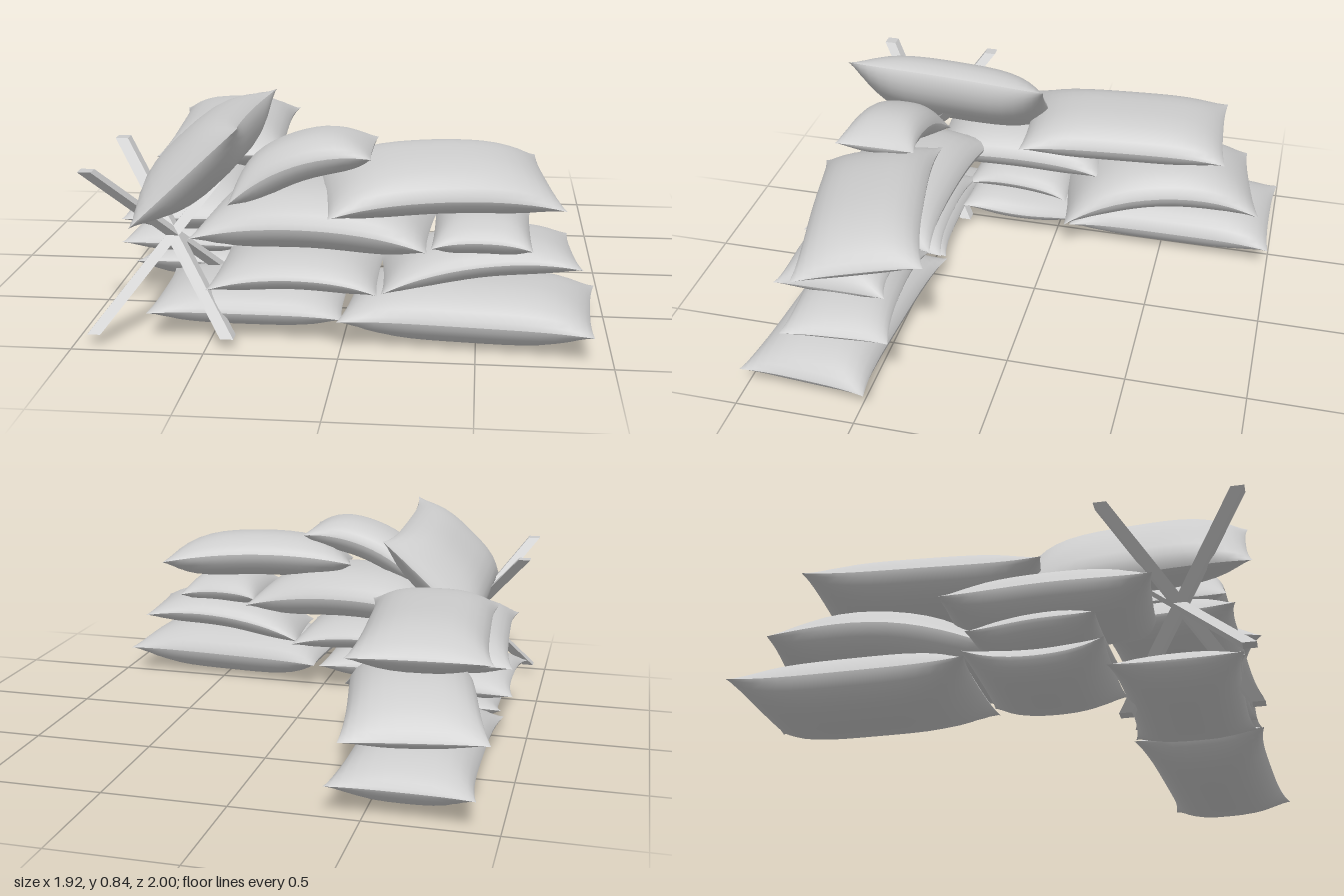
import * as THREE from 'three';
import { mergeGeometries } from 'three/addons/utils/BufferGeometryUtils.js';

const material = new THREE.MeshStandardMaterial({ color: 0xcccccc });

// Pillow: two bulged sheets meeting at a seam, with corners sticking out.
// bend arches the bag along its length.
function bagGeometry(length, width, height, bend) {
  const sheets = [1, -1].map((side) => {
    const sheet = new THREE.PlaneGeometry(2, 2, 20, 14);
    sheet.rotateX((-side * Math.PI) / 2);
    const p = sheet.attributes.position;
    for (let i = 0; i < p.count; i++) {
      // crowd the rows towards the seam so the rounded rim is well sampled
      const u = Math.sin((p.getX(i) * Math.PI) / 2);
      const v = Math.sin((p.getZ(i) * Math.PI) / 2);
      // full in the middle, falling off near the ends and sides
      const fullU = Math.max(0, 1 - u ** 4);
      const fullV = Math.max(0, 1 - Math.abs(v) ** 3);
      p.setXYZ(
        i,
        u * (length / 2) * (1 - 0.035 * fullV),
        side * (height / 2) * fullU ** 0.75 * fullV ** 0.65 + bend * (1 - u * u),
        v * (width / 2) * (1 - 0.11 * fullU)
      );
    }
    sheet.computeVertexNormals();
    return sheet;
  });
  return mergeGeometries(sheets);
}

// Bags: name, centre [x, y, z], size [length, width, height],
// then yaw, pitch, roll and bend
const Q = Math.PI / 2;
const BAGS = [
  // wing along x, from the ground up
  ['frontBaseOuter', [0.475, 0.118, 0.7], [0.94, 0.54, 0.235], -0.07, 0, 0, 0],
  ['frontBaseInner', [-0.365, 0.115, 0.66], [0.74, 0.5, 0.175], 0, 0, 0, 0],
  ['frontSecondOuter', [0.5, 0.26, 0.635], [0.75, 0.44, 0.155], 0.08, 0.13, 0, 0.05],
  ['frontSecondInner', [-0.185, 0.215, 0.65], [0.64, 0.52, 0.155], 0, 0, 0, 0.038],
  ['frontThirdInner', [-0.11, 0.4, 0.625], [0.89, 0.57, 0.235], -0.06, -0.01, 0, 0.05],
  ['frontThirdOuter', [0.515, 0.405, 0.68], [0.37, 0.47, 0.15], 0, 0, 0, 0.018],
  ['frontTopOuter', [0.34, 0.56, 0.615], [0.88, 0.53, 0.21], 0.2, 0, 0.15, 0.04],
  ['frontTopInner', [-0.16, 0.62, 0.67], [0.57, 0.35, 0.17], 0, 0.34, 0, 0.06],
  // wing along z
  ['sideBaseOuter', [-0.635, 0.118, -0.54], [0.92, 0.55, 0.235], Q, 0, 0, 0],
  ['sideBaseInner', [-0.63, 0.147, 0.165], [0.53, 0.54, 0.155], Q, 0, 0, -0.035],
  ['sideSecondOuter', [-0.585, 0.235, -0.46], [0.88, 0.55, 0.225], Q + 0.19, 0.07, 0, 0.1],
  ['sideSecondInner', [-0.69, 0.21, 0.18], [0.48, 0.52, 0.15], Q - 0.04, -0.04, 0, 0.022],
  ['sideThirdInner', [-0.66, 0.37, 0.2], [0.79, 0.52, 0.21], Q + 0.06, -0.04, 0, 0.025],
  ['sideTopOuter', [-0.615, 0.53, -0.29], [0.92, 0.55, 0.22], Q + 0.08, 0, 0, 0.005],
  // bag leaning over the corner
  ['leaningCorner', [-0.565, 0.632, 0.505], [0.9, 0.56, 0.235], Q, -0.05, -0.75, 0.01],
];

// Slanted square bar with level ends, leaning by dx and dz over its half height
function barGeometry(dx, dz, halfHeight) {
  const bar = new THREE.BoxGeometry(0.05, halfHeight * 2, 0.05);
  const p = bar.attributes.position;
  for (let i = 0; i < p.count; i++) {
    const t = p.getY(i) / halfHeight;
    p.setX(i, p.getX(i) + dx * t);
    p.setZ(i, p.getZ(i) + dz * t);
  }
  bar.computeVertexNormals();
  return bar;
}

export function createModel() {
  const model = new THREE.Group();
  model.name = 'sandbagBarricade';

  const sandbags = new THREE.Group();
  sandbags.name = 'sandbags';
  for (const [name, position, size, yaw, pitch, roll, bend] of BAGS) {
    const bag = new THREE.Mesh(bagGeometry(...size, bend), material);
    bag.name = name + 'Bag';
    bag.position.set(...position);
    bag.rotation.set(roll, yaw, pitch, 'YZX');
    sandbags.add(bag);
  }
  model.add(sandbags);

  // Three crossed bars of the corner obstacle
  const obstacle = new THREE.Group();
  obstacle.name = 'crossedBarObstacle';
  obstacle.position.set(-0.67, 0.36, 0.685);
  [[-1, 1], [1, -1], [-1, -1]].forEach(([sx, sz], i) => {
    const bar = new THREE.Mesh(barGeometry(sx * 0.252, sz * 0.252, 0.315), material);
    bar.name = 'obstacleBar' + (i + 1);
    obstacle.add(bar);
  });
  model.add(obstacle);

  return model;
}
